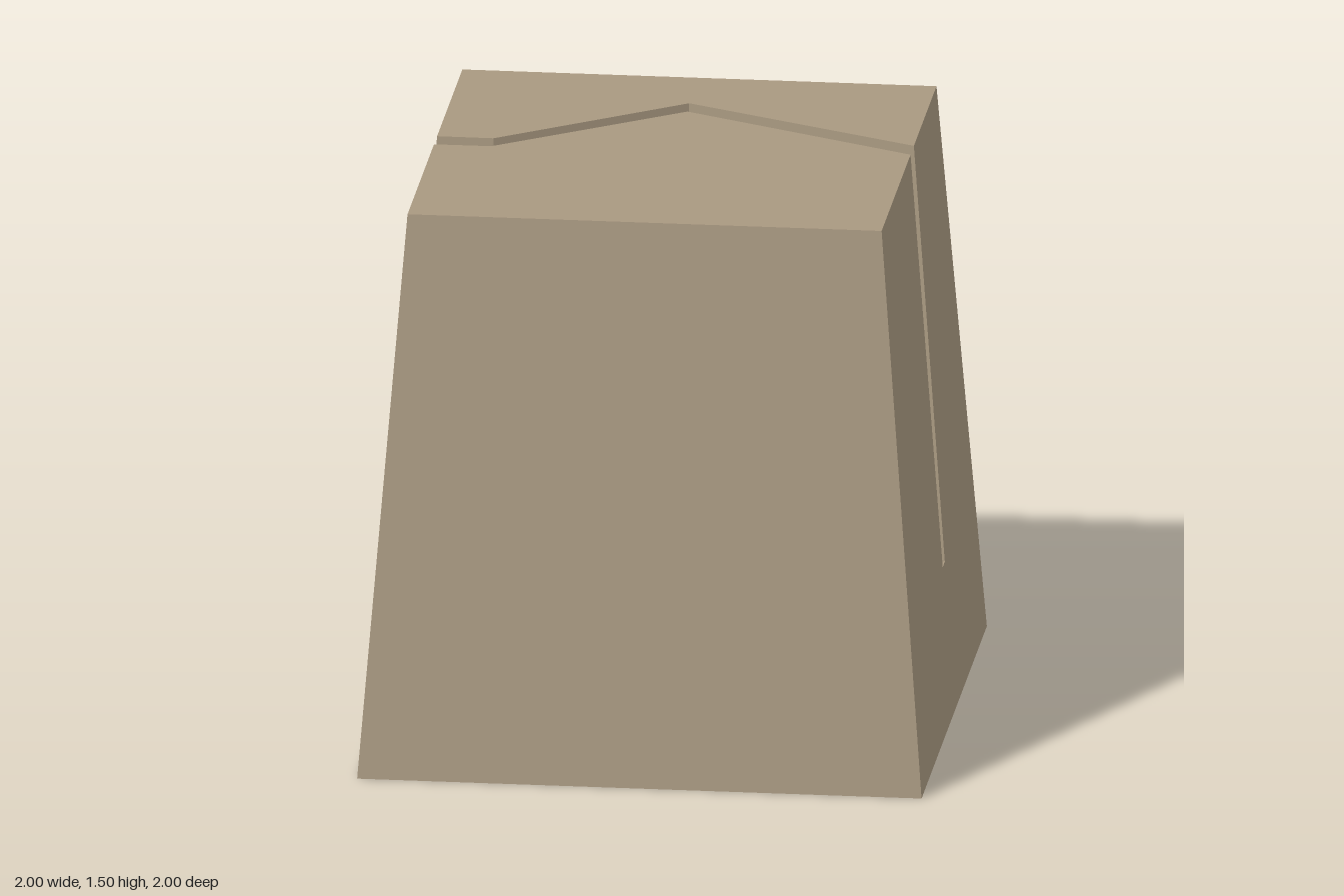
import * as THREE from 'three';

const H = 1.495;      // block height
const FLOOR = 0.39;   // level of the groove floor
const taper = (y) => 1 - 0.16 * y / H;

// Footprint corners (x, z) of the turned square block
const LEFT = [-1, -0.27], FRONT = [-0.27, 1], RIGHT = [1, 0.27], BACK = [0.27, -1];
const at = (x, y, z) => new THREE.Vector3(x, y, z);
const corner = (c, y) => at(c[0] * taper(y), y, c[1] * taper(y));
const onSide = (a, b, t, y) => corner(a, y).lerp(corner(b, y), t);

// One edge of the groove: exit through the left side, two bends, exit through the right side
function grooveEdge(y, tLeft, bends, tRight) {
  return [
    onSide(LEFT, FRONT, tLeft, y),
    ...bends.map(([x, z]) => at(x, y, z)),
    onSide(BACK, RIGHT, tRight, y),
  ];
}

// Triangulates flat outlines given counter-clockwise as seen from outside
function facesGeometry(outlines) {
  const positions = [];
  for (const pts of outlines) {
    const normal = at(0, 0, 0);
    pts.forEach((p, i) => normal.add(p.clone().cross(pts[(i + 1) % pts.length])));
    normal.normalize();
    const u = pts[1].clone().sub(pts[0]).normalize();
    const v = normal.clone().cross(u);
    const flat = pts.map((p) => new THREE.Vector2(p.dot(u), p.dot(v)));
    for (const tri of THREE.ShapeUtils.triangulateShape(flat, [])) {
      for (const i of tri) positions.push(...pts[i].toArray());
    }
  }
  const geometry = new THREE.BufferGeometry();
  geometry.setAttribute('position', new THREE.Float32BufferAttribute(positions, 3));
  geometry.computeVertexNormals();
  return geometry;
}

export function createModel() {
  const group = new THREE.Group();
  group.name = 'groovedBlock';
  const stone = new THREE.MeshStandardMaterial({ color: 0xa89880, flatShading: true });
  stone.name = 'tan stone';

  const add = (name, outlines) => {
    const mesh = new THREE.Mesh(facesGeometry(outlines), stone);
    mesh.name = name;
    group.add(mesh);
  };

  // Groove edges, narrower at the floor than at the top
  const backTop = grooveEdge(H, 0.461, [[-0.43, 0.193], [-0.2, -0.345]], 0.412);
  const frontTop = grooveEdge(H, 0.517, [[-0.395, 0.25], [-0.162, -0.286]], 0.473);
  const backFloor = grooveEdge(FLOOR, 0.48, [[-0.423, 0.208], [-0.19, -0.332]], 0.462);
  const frontFloor = grooveEdge(FLOOR, 0.511, [[-0.402, 0.238], [-0.17, -0.297]], 0.495);

  const [l0, f0, r0, b0] = [LEFT, FRONT, RIGHT, BACK].map((c) => corner(c, 0));
  const [l1, f1, r1, b1] = [LEFT, FRONT, RIGHT, BACK].map((c) => corner(c, H));

  // Plain sides and underside
  add('plainSides', [[f0, r0, r1, f1], [b0, l0, l1, b1]]);
  add('underside', [[b0, r0, f0, l0]]);

  // Sides notched by the groove
  add('notchedSides', [
    [l0, f0, f1, frontTop[0], frontFloor[0], backFloor[0], backTop[0], l1],
    [r0, b0, b1, backTop[3], backFloor[3], frontFloor[3], frontTop[3], r1],
  ]);

  // Top, split in two by the groove
  add('top', [
    [frontTop[0], f1, r1, frontTop[3], frontTop[2], frontTop[1]],
    [l1, ...backTop, b1],
  ]);

  // Groove walls and floor
  const walls = [];
  for (let i = 0; i < 3; i++) {
    walls.push([frontFloor[i + 1], frontFloor[i], frontTop[i], frontTop[i + 1]]);
    walls.push([backFloor[i], backFloor[i + 1], backTop[i + 1], backTop[i]]);
  }
  add('grooveWalls', walls);
  add('grooveFloor', [[...frontFloor, ...backFloor.slice().reverse()]]);

  return group;
}
